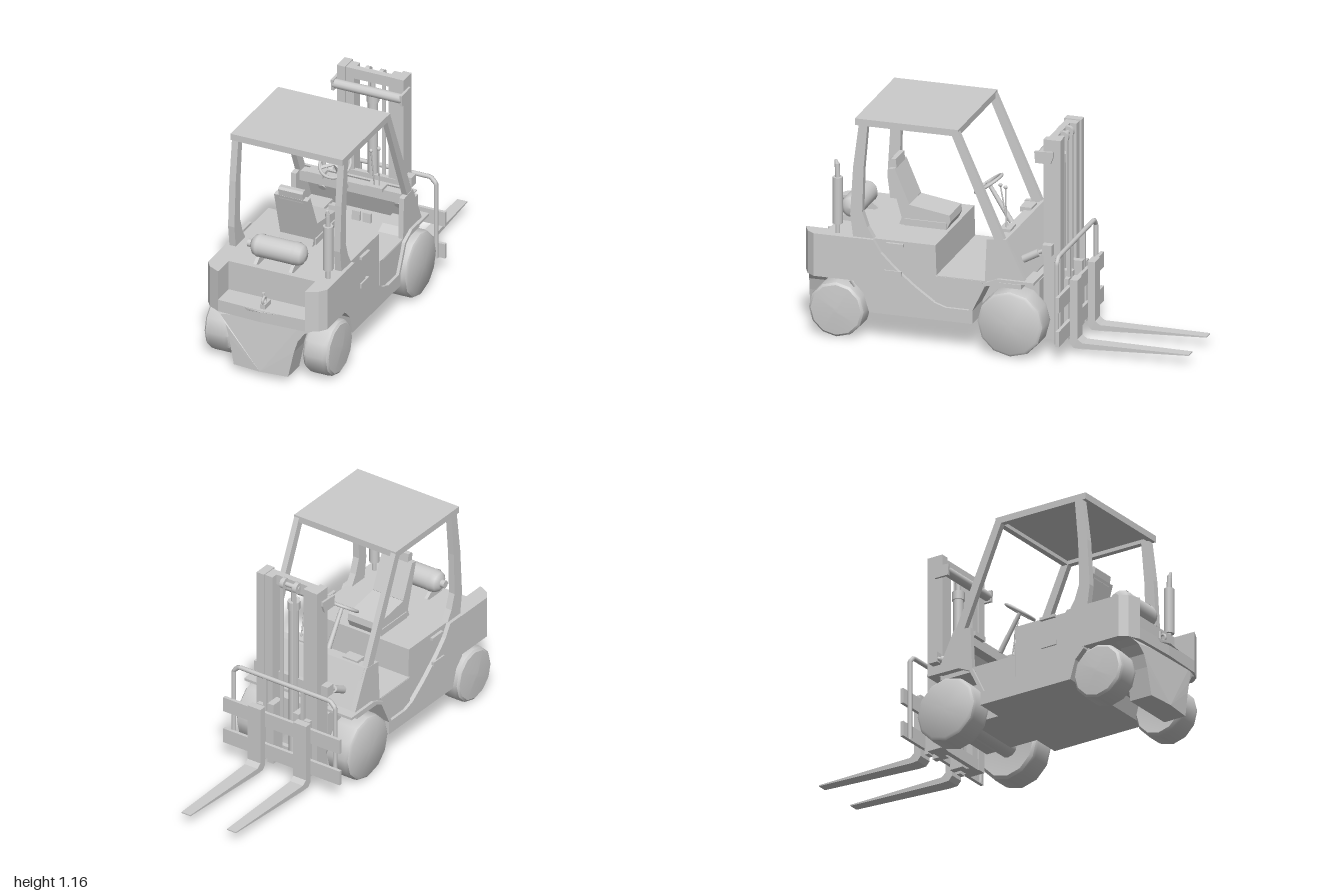
import * as THREE from 'three';
import { toCreasedNormals } from 'three/addons/utils/BufferGeometryUtils.js';

const V = (x, y, z) => new THREE.Vector3(x, y, z);

export function createModel() {
  const model = new THREE.Group();
  const mat = new THREE.MeshStandardMaterial({ color: 0xcccccc, side: THREE.DoubleSide });

  const add = (name, geo) => {
    const mesh = new THREE.Mesh(geo, mat);
    mesh.name = name;
    model.add(mesh);
    return mesh;
  };
  // Box given by its limits on each axis
  const box = (name, x0, x1, y0, y1, z0, z1) =>
    add(name, new THREE.BoxGeometry(x1 - x0, y1 - y0, z1 - z0)
      .translate((x0 + x1) / 2, (y0 + y1) / 2, (z0 + z1) / 2));
  const extrude = (pts, depth) => new THREE.ExtrudeGeometry(
    new THREE.Shape(pts.map(p => new THREE.Vector2(...p))), { depth, bevelEnabled: false });
  // Side outline [z, y] swept across x
  const side = (name, pts, x0, x1) =>
    add(name, extrude(pts, x1 - x0).rotateY(-Math.PI / 2).translate(x1, 0, 0));
  // Plan outline [x, z] swept up y
  const plan = (name, pts, y0, y1) =>
    add(name, extrude(pts, y1 - y0).rotateX(Math.PI / 2).translate(0, y1, 0));
  // Round bar between two points
  const rod = (name, a, b, r, r2 = r, n = 12) => {
    const m = add(name, new THREE.CylinderGeometry(r2, r, a.distanceTo(b), n));
    m.position.copy(a).add(b).multiplyScalar(0.5);
    m.quaternion.setFromUnitVectors(V(0, 1, 0), b.clone().sub(a).normalize());
    return m;
  };
  const both = fn => [-1, 1].forEach(fn);
  // Mirrored versions: limits are given for the +x side
  const box2 = (name, x0, x1, ...r) => both(s => box(name, Math.min(s * x0, s * x1), Math.max(s * x0, s * x1), ...r));
  const side2 = (name, pts, x0, x1) => both(s => side(name, pts, Math.min(s * x0, s * x1), Math.max(s * x0, s * x1)));

  // Hood, floor and chassis
  side('hood', [[0.7, 0.535], [0.28, 0.535], [0.275, 0.375], [0.1, 0.375], [0.1, 0.15],
    [0.62, 0.15], [0.65, 0.25], [0.7, 0.3]], -0.305, 0.305);
  box('floor', -0.31, 0.31, 0.355, 0.378, -0.17, 0.28);
  box('frontChassis', -0.17, 0.17, 0.15, 0.36, -0.22, 0.1);
  side2('sideFrame', [[0.71, 0.535], [0.6, 0.535], [0.56, 0.47], [0.49, 0.4], [0.38, 0.31], [0.28, 0.24],
    [0.22, 0.22], [0.1, 0.22], [0.1, 0.15], [0.62, 0.15], [0.65, 0.25], [0.7, 0.3]], 0.3, 0.328);
  side2('sidePanel', [[0.28, 0.375], [0.03, 0.375], [0.09, 0.22], [0.28, 0.22]], 0.29, 0.312);
  box2('sideHandle', 0.32, 0.336, 0.515, 0.53, 0.44, 0.53);
  box2('sideStep', 0.32, 0.336, 0.36, 0.385, 0.45, 0.54);

  // Counterweight: solid shelf, notched upper part and narrow lower block
  plan('counterweightBase', [[-0.33, 0.69], [0.33, 0.69], [0.33, 0.91], [0.3, 0.95], [0.24, 0.98], [0, 0.99],
    [-0.24, 0.98], [-0.3, 0.95], [-0.33, 0.91]], 0.31, 0.375);
  plan('counterweightTop', [[-0.33, 0.69], [0.33, 0.69], [0.33, 0.91], [0.3, 0.95], [0.24, 0.98], [0.24, 0.86],
    [-0.24, 0.86], [-0.24, 0.98], [-0.3, 0.95], [-0.33, 0.91]], 0.375, 0.535);
  const lower = extrude([[-0.29, 0.315], [-0.235, 0.29], [-0.2, 0.245], [-0.18, 0.18], [-0.15, 0.035], [0, 0.035],
    [0.15, 0.035], [0.18, 0.18], [0.2, 0.245], [0.235, 0.29], [0.29, 0.315], [0.24, 0.372], [0, 0.372], [-0.24, 0.372]], 0.14);
  const lp = lower.attributes.position;
  for (let i = 0; i < lp.count; i++) { // bow the rear face
    if (lp.getZ(i) > 0.1) lp.setZ(i, 0.14 - 0.6 * lp.getX(i) ** 2);
  }
  lower.computeVertexNormals();
  add('counterweightLower', lower.translate(0, 0, 0.86));
  box('towHitch', -0.014, 0.014, 0.37, 0.4, 0.9, 0.97);
  rod('towPin', V(-0.009, 0.37, 0.94), V(-0.009, 0.45, 0.94), 0.008);
  add('towRing', new THREE.TorusGeometry(0.018, 0.007, 8, 16).rotateY(Math.PI / 2).translate(0, 0.415, 0.95));

  // Wheels: twelve-sided with rounded shoulders and a shallow cone face
  const wheel = (name, r, x0, x1, y, z) => both(s => {
    const w = x1 - x0;
    const prof = [[0, 0.02], [r * 0.9, 0], [r * 0.98, 0.012], [r, 0.03], [r, w - 0.03], [r * 0.98, w - 0.012],
      [r * 0.9, w - 0.002], [r * 0.12, w + 0.008], [0, w + 0.008]].map(p => new THREE.Vector2(...p));
    const g = toCreasedNormals(new THREE.LatheGeometry(prof, 12), 0.6).rotateZ(-s * Math.PI / 2);
    add(name, g.translate(s * x0, y, z));
  });
  wheel('rearWheel', 0.146, 0.2, 0.345, 0.148, 0.79);
  wheel('frontWheel', 0.173, 0.2, 0.35, 0.175, -0.12);
  rod('rearAxle', V(-0.22, 0.148, 0.79), V(0.22, 0.148, 0.79), 0.03);
  rod('frontAxle', V(-0.22, 0.175, -0.12), V(0.22, 0.175, -0.12), 0.05);
  side2('frontFender', [[0.1, 0.15], [0.1, 0.22], [0.03, 0.365], [-0.05, 0.402], [-0.24, 0.402], [-0.24, 0.388],
    [-0.05, 0.386], [0.015, 0.355], [0.08, 0.22], [0.08, 0.15]], 0.165, 0.328);
  both(s => rod('fenderStrut', V(s * 0.29, 0.27, 0.7), V(s * 0.29, 0.3, 0.72), 0.018));

  // Front cowl with dashboard
  side2('cowlSide', [[0.02, 0.375], [0.01, 0.6], [-0.09, 0.61], [-0.19, 0.4], [-0.05, 0.4]], 0.285, 0.312);
  side('cowlFront', [[-0.075, 0.61], [-0.092, 0.61], [-0.19, 0.39], [-0.17, 0.38]], -0.3, 0.3);
  box('dashboard', -0.3, 0.3, 0.545, 0.6, -0.085, -0.03);
  box('instrumentPanel', -0.24, -0.15, 0.59, 0.615, -0.07, -0.01);
  box('leverBox', 0.09, 0.18, 0.595, 0.615, -0.07, -0.01);
  [0.125, 0.15].forEach((x, i) => {
    rod('controlLever', V(x, 0.6, -0.04), V(x, 0.82, i ? -0.035 : 0), 0.004, 0.004, 8);
    add('leverKnob', new THREE.SphereGeometry(0.01, 10, 8).translate(x, 0.825, i ? -0.035 : 0));
  });
  [-0.1, 0.03, 0.09].forEach(x => box('pedal', x - 0.022, x + 0.022, 0.4, 0.45, -0.01, 0.005).rotation.x = -0.06);

  // Steering wheel and column
  const hub = V(-0.02, 0.77, 0.11);
  const steering = new THREE.Group();
  steering.name = 'steeringWheel';
  steering.add(new THREE.Mesh(new THREE.TorusGeometry(0.08, 0.008, 8, 24), mat));
  [0, 1, 2].forEach(i => {
    const spoke = new THREE.Mesh(new THREE.BoxGeometry(0.016, 0.08, 0.006).translate(0, 0.04, 0), mat);
    spoke.rotation.z = i * Math.PI * 2 / 3;
    steering.add(spoke);
  });
  steering.quaternion.setFromUnitVectors(V(0, 0, 1), V(0, 0.14, 0.1).normalize());
  steering.position.copy(hub);
  model.add(steering);
  rod('steeringColumn', hub, V(-0.02, 0.58, -0.01), 0.01, 0.014);

  // Seat
  side('seatCushion', [[0.55, 0.53], [0.51, 0.645], [0.285, 0.61], [0.28, 0.575], [0.3, 0.535]], -0.115, 0.07);
  side('seatBack', [[0.535, 0.57], [0.605, 0.82], [0.572, 0.825], [0.495, 0.645]], -0.115, 0.07);
  side('headrest', [[0.6, 0.8], [0.61, 0.855], [0.6, 0.866], [0.575, 0.866], [0.57, 0.82]], -0.09, 0.045);
  [-0.12, 0.062].forEach(x => box('seatRail', x, x + 0.015, 0.53, 0.57, 0.3, 0.52));

  // Overhead guard: pressed roof with a rim, and four posts
  box('roof', -0.31, 0.31, 1.145, 1.16, 0.16, 0.7);
  box2('roofRim', 0.28, 0.31, 1.125, 1.15, 0.16, 0.7);
  [0.16, 0.67].forEach(z => box('roofBeam', -0.31, 0.31, 1.125, 1.15, z, z + 0.03));
  side2('rearPost', [[0.68, 1.13], [0.71, 0.9], [0.725, 0.65], [0.705, 0.5], [0.58, 0.5], [0.635, 0.59], [0.662, 0.67],
    [0.655, 0.9], [0.635, 1.13]], 0.275, 0.31);
  side2('frontPost', [[0.16, 1.15], [0.195, 1.13], [-0.03, 0.6], [-0.085, 0.6]], 0.28, 0.31);

  // Gas cylinder on its cradle
  const tank = [[0, 0], [0.03, 0.004], [0.05, 0.018], [0.058, 0.04], [0.058, 0.26], [0.05, 0.282], [0.03, 0.296], [0, 0.3]];
  add('gasCylinder', new THREE.LatheGeometry(tank.map(p => new THREE.Vector2(...p)), 24).rotateZ(-Math.PI / 2)
    .translate(-0.15, 0.618, 0.78));
  rod('gasValve', V(-0.17, 0.618, 0.78), V(-0.14, 0.618, 0.78), 0.02);
  [-0.1, 0.095].forEach(x => {
    side('gasCradle', [[0.85, 0.545], [0.81, 0.575], [0.75, 0.575], [0.71, 0.545], [0.73, 0.535], [0.83, 0.535]], x - 0.009, x + 0.009);
    add('gasStrap', new THREE.CylinderGeometry(0.06, 0.06, 0.015, 24, 1, true).rotateZ(Math.PI / 2).translate(x, 0.618, 0.78));
  });

  // Exhaust stack
  rod('exhaustBase', V(0.28, 0.53, 0.8), V(0.28, 0.6, 0.8), 0.012);
  rod('exhaustSilencer', V(0.28, 0.585, 0.8), V(0.28, 0.83, 0.8), 0.026);
  rod('exhaustPipe', V(0.28, 0.83, 0.8), V(0.28, 0.9, 0.803), 0.013);
  rod('exhaustTip', V(0.28, 0.89, 0.803), V(0.28, 0.92, 0.81), 0.013, 0.006);

  // Mast: outer and inner rails, cross members, lift cylinder and chains
  box2('outerMastRail', 0.14, 0.185, 0.06, 1.115, -0.335, -0.245);
  box2('innerMastRail', 0.095, 0.14, 0.06, 1.11, -0.325, -0.255);
  box('mastTopBeam', -0.14, 0.14, 1.055, 1.11, -0.29, -0.255);
  [0.06, 0.48].forEach(y => box('mastCrossMember', -0.14, 0.14, y, y + 0.06, -0.275, -0.25));
  rod('mastTieTube', V(-0.19, 1.022, -0.225), V(0.19, 1.022, -0.225), 0.025);
  side2('mastTieBracket', [[-0.2, 1.05], [-0.3, 1.055], [-0.3, 1.03], [-0.285, 0.99], [-0.205, 0.99]], 0.183, 0.197);
  rod('liftCylinder', V(0, 0.1, -0.275), V(0, 0.95, -0.275), 0.026);
  rod('liftCylinderCap', V(0, 0.94, -0.275), V(0, 0.985, -0.275), 0.032);
  rod('liftRod', V(0, 0.98, -0.275), V(0, 1.1, -0.275), 0.014);
  box2('liftChain', 0.03, 0.048, 0.3, 1.09, -0.325, -0.318);
  both(s => rod('chainPulley', V(s * 0.028, 1.085, -0.3), V(s * 0.05, 1.085, -0.3), 0.03, 0.03, 16));
  rod('pulleyShaft', V(-0.055, 1.085, -0.3), V(0.055, 1.085, -0.3), 0.012);
  both(s => {
    rod('tiltCylinder', V(s * 0.21, 0.47, -0.13), V(s * 0.21, 0.525, -0.23), 0.02);
    rod('tiltRod', V(s * 0.21, 0.525, -0.23), V(s * 0.21, 0.55, -0.28), 0.01);
  });
  box2('tiltBracket', 0.18, 0.225, 0.515, 0.57, -0.3, -0.25);

  // Carriage with load guard
  [0.09, 0.27].forEach(y => box('carriageBar', -0.355, 0.355, y, y + 0.08, -0.382, -0.364));
  box2('carriagePlate', 0.06, 0.095, 0.06, 0.4, -0.366, -0.29);
  box2('carriageUpright', 0.12, 0.16, 0.06, 0.38, -0.368, -0.345);
  const guardPath = new THREE.CurvePath();
  const guardPts = [V(-0.31, 0.09, -0.355), V(-0.31, 0.51, -0.355), V(-0.28, 0.54, -0.355),
    V(0.28, 0.54, -0.355), V(0.31, 0.51, -0.355), V(0.31, 0.09, -0.355)];
  guardPts.slice(1).forEach((p, i) => guardPath.add(new THREE.LineCurve3(guardPts[i], p)));
  add('loadGuard', new THREE.TubeGeometry(guardPath, 100, 0.012, 8));
  box2('guardBar', 0.105, 0.125, 0.35, 0.54, -0.365, -0.347);

  // Forks, tapering towards the tips
  both(s => {
    const fork = side('fork', [[-0.38, 0.385], [-0.38, 0.05], [-0.4, 0.027], [-0.44, 0.025], [-1, 0.05], [-1, 0.056],
      [-0.445, 0.056], [-0.42, 0.075], [-0.42, 0.385]], -0.039, 0.039);
    const p = fork.geometry.attributes.position;
    for (let i = 0; i < p.count; i++) {
      p.setX(i, p.getX(i) * (1 - 0.3 * Math.max(0, (-p.getZ(i) - 0.42) / 0.58)));
    }
    fork.geometry.computeVertexNormals();
    fork.position.x = s * 0.139;
  });
  return model;
}
